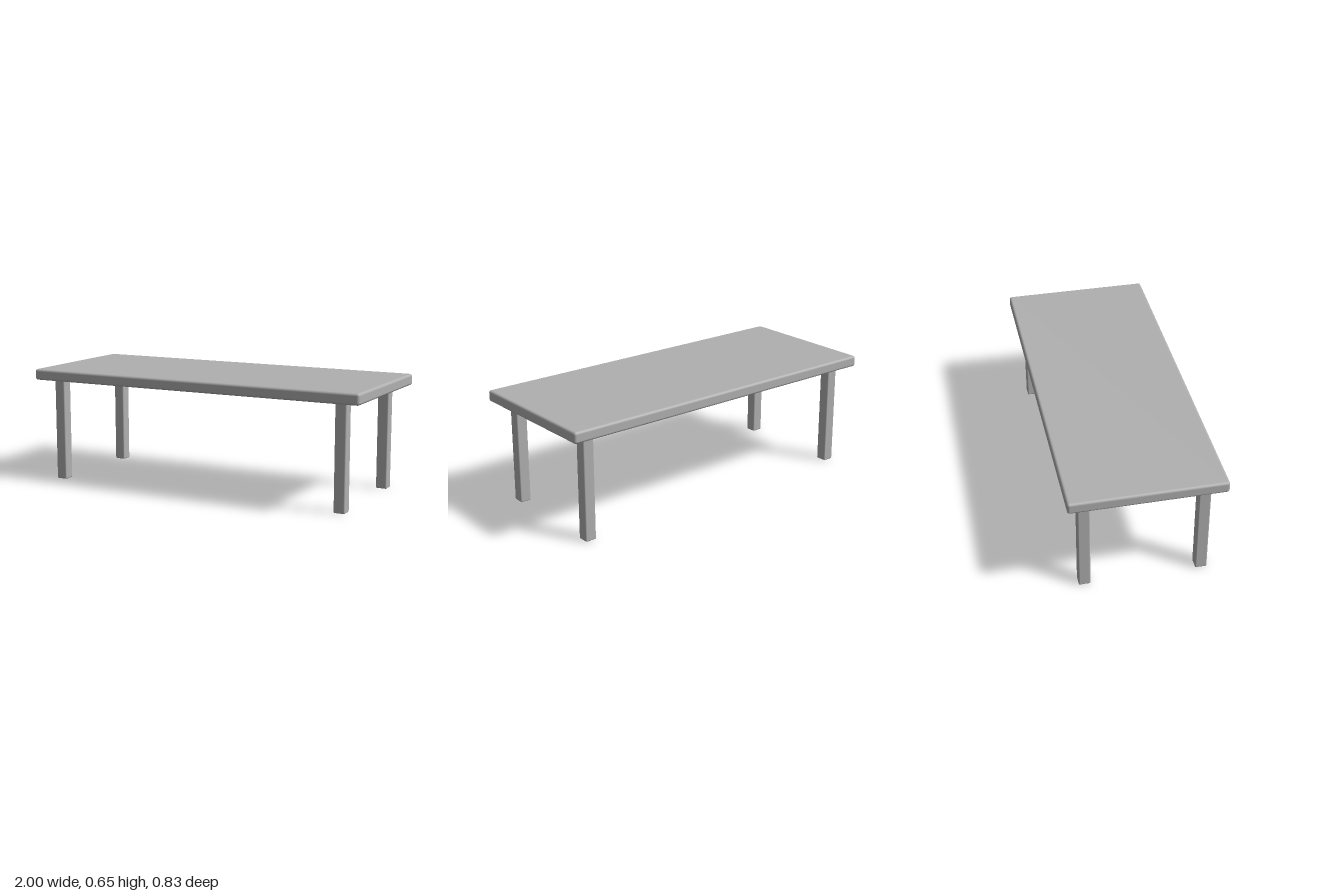
import * as THREE from 'three';
import { RoundedBoxGeometry } from 'three/addons/geometries/RoundedBoxGeometry.js';

export function createModel() {
  const table = new THREE.Group();
  table.name = 'table';
  const grey = new THREE.MeshStandardMaterial({ color: 0xb0b0b0 });
  grey.name = 'grey';

  // Softly rounded slab standing on the given base height
  function addSlab(name, width, height, depth, radius, x, base, z) {
    const mesh = new THREE.Mesh(new RoundedBoxGeometry(width, height, depth, 3, radius), grey);
    mesh.name = name;
    mesh.position.set(x, base + height / 2, z);
    table.add(mesh);
  }

  // Table top, with a hairline gap above the legs
  addSlab('tableTop', 2, 0.063, 0.83, 0.014, 0, 0.587, 0);

  // Four square legs, mirrored in x and z
  for (const [side, x] of [['Left', 0.875], ['Right', -0.875]]) {
    for (const [end, z] of [['front', 0.317], ['back', -0.317]]) {
      addSlab(`${end}${side}Leg`, 0.064, 0.584, 0.064, 0.007, x, 0, z);
    }
  }
  return table;
}
